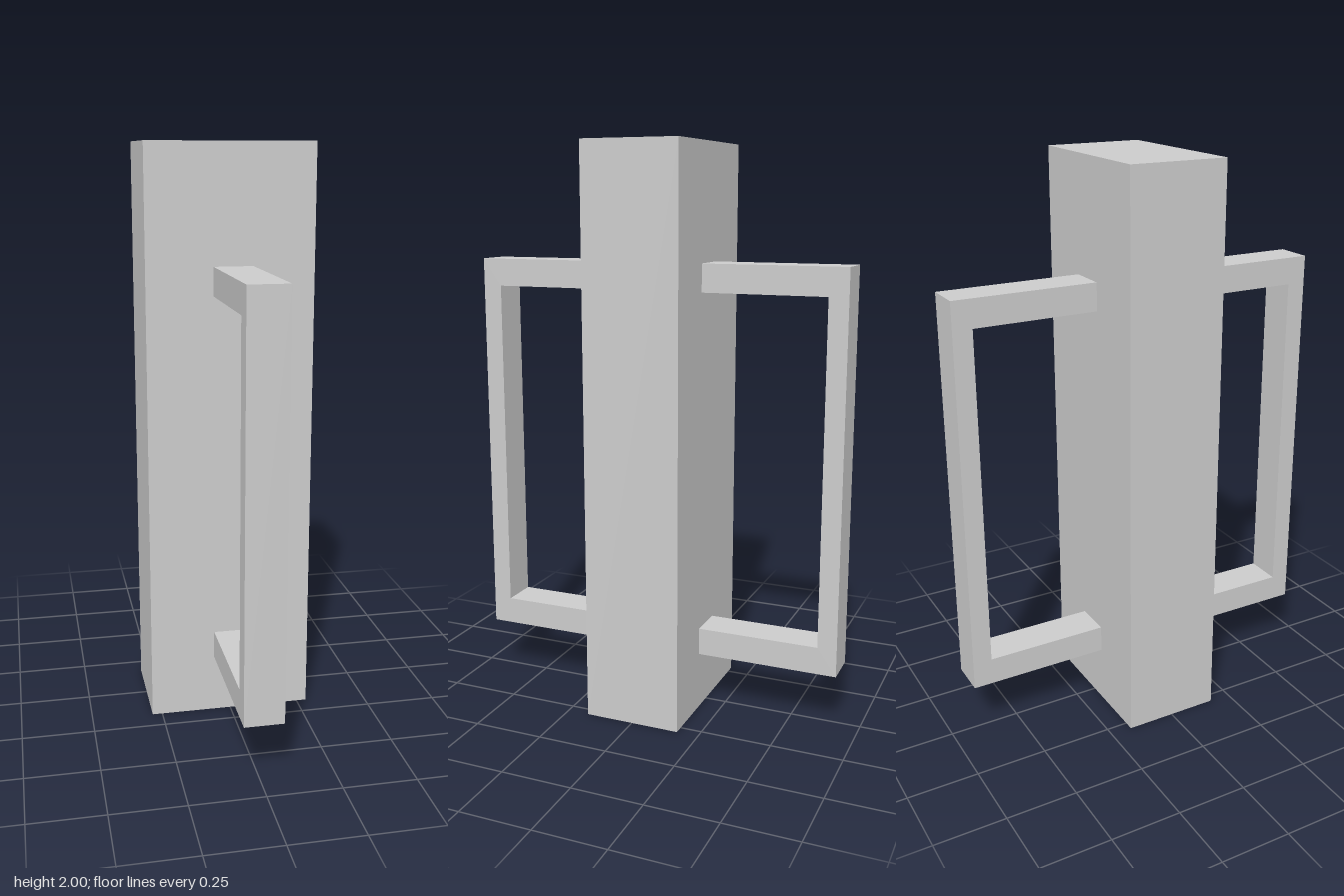
import * as THREE from 'three';

export function createModel() {
  const group = new THREE.Group();
  const grey = new THREE.MeshStandardMaterial({ color: 0xcccccc });
  grey.name = 'grey';

  // Upright slab
  const body = new THREE.Mesh(new THREE.BoxGeometry(0.57, 2, 0.345), grey);
  body.name = 'body';
  body.position.y = 1;
  group.add(body);

  // C-shaped pull handle: x runs outward from the slab, y is up
  const root = 0.165, inner = 0.607, outer = 0.675;
  const shape = new THREE.Shape([
    [root, 0.205], [outer, 0.205], [outer, 1.6], [root, 1.6],
    [root, 1.503], [inner, 1.503], [inner, 0.302], [root, 0.302],
  ].map(([x, y]) => new THREE.Vector2(x, y)));
  const width = 0.134, offset = 0.008;

  // One handle on the front and one on the back
  for (const [name, side] of [['frontHandle', 1], ['backHandle', -1]]) {
    const geometry = new THREE.ExtrudeGeometry(shape, { depth: width, bevelEnabled: false });
    geometry.translate(0, 0, -width / 2);
    geometry.rotateY(-side * Math.PI / 2);
    const handle = new THREE.Mesh(geometry, grey);
    handle.name = name;
    handle.position.x = offset;
    group.add(handle);
  }
  return group;
}
